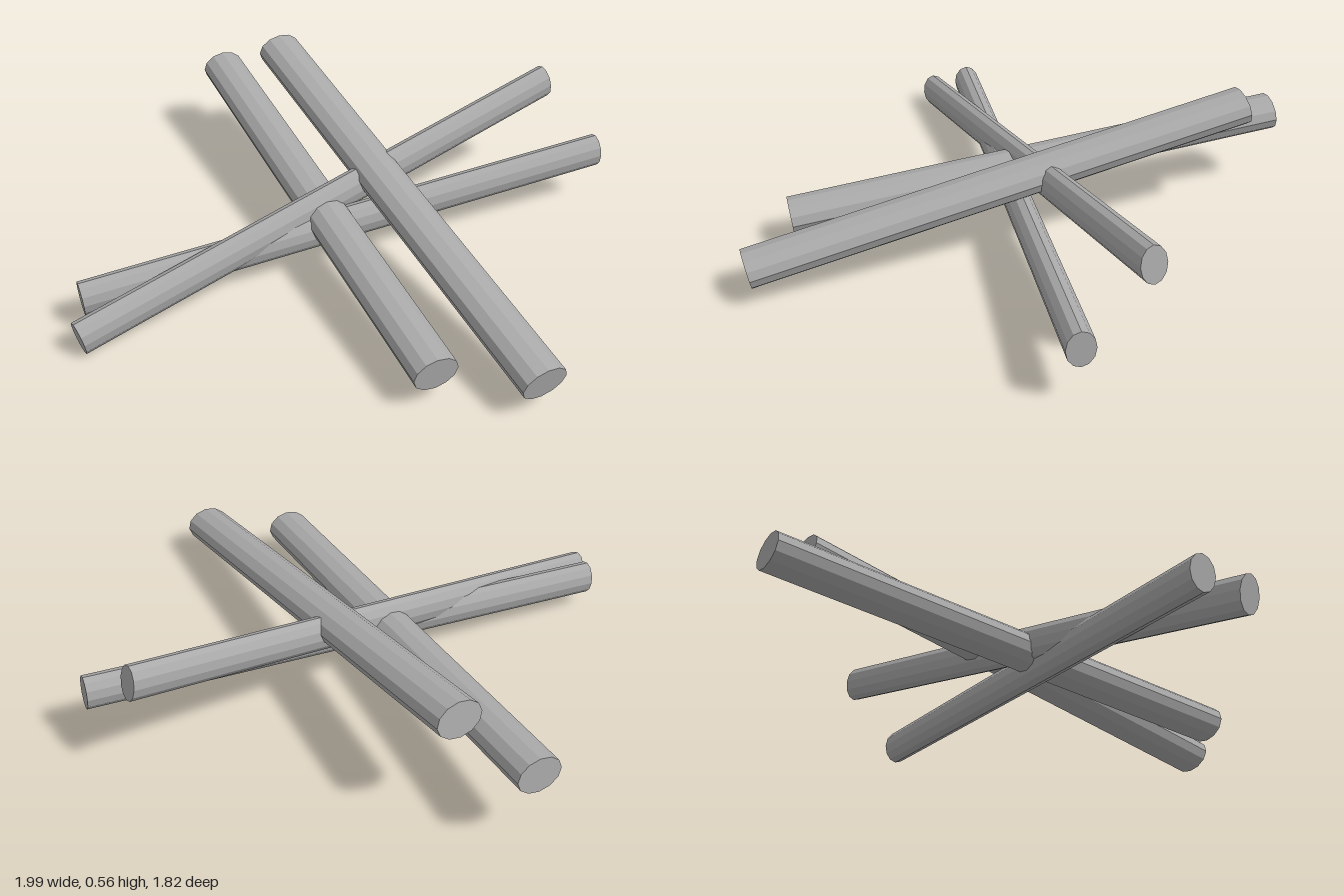
import * as THREE from 'three';

// Unit twelve-sided log, axis along y, corners at top and sides
const SIDES = 12;

export function createModel() {
  const model = new THREE.Group();
  model.name = 'logPile';
  const wood = new THREE.MeshStandardMaterial({ color: 0xaaaaaa, flatShading: true });
  wood.name = 'greyWood';

  // Straight log between two end centres, with an oval section
  function addLog(name, start, end, halfWidth, halfHeight) {
    const a = new THREE.Vector3(...start);
    const b = new THREE.Vector3(...end);
    const axis = b.clone().sub(a);
    const length = axis.length();
    axis.normalize();
    const side = new THREE.Vector3().crossVectors(axis, new THREE.Vector3(0, 1, 0)).normalize();
    const up = new THREE.Vector3().crossVectors(side, axis);

    const geometry = new THREE.CylinderGeometry(1, 1, length, SIDES);
    geometry.scale(halfWidth, 1, halfHeight);
    geometry.applyMatrix4(new THREE.Matrix4().makeBasis(side, axis, up));

    const log = new THREE.Mesh(geometry, wood);
    log.name = name;
    log.position.copy(a).add(b).multiplyScalar(0.5);
    model.add(log);
  }

  // Two wide logs running from back right to front left
  addLog('lowerWideLog', [-0.775, 0.34, -0.86], [0.428, 0.15, 0.853], 0.091, 0.073);
  addLog('upperWideLog', [-0.485, 0.497, -0.787], [0.812, 0.145, 0.833], 0.095, 0.073);

  // Two narrow logs crossing them
  addLog('lowerNarrowLog', [-0.967, 0.14, 0.645], [0.965, 0.25, -0.555], 0.056, 0.073);
  addLog('upperNarrowLog', [-0.927, 0.08, 0.803], [0.717, 0.473, -0.73], 0.053, 0.075);

  return model;
}
